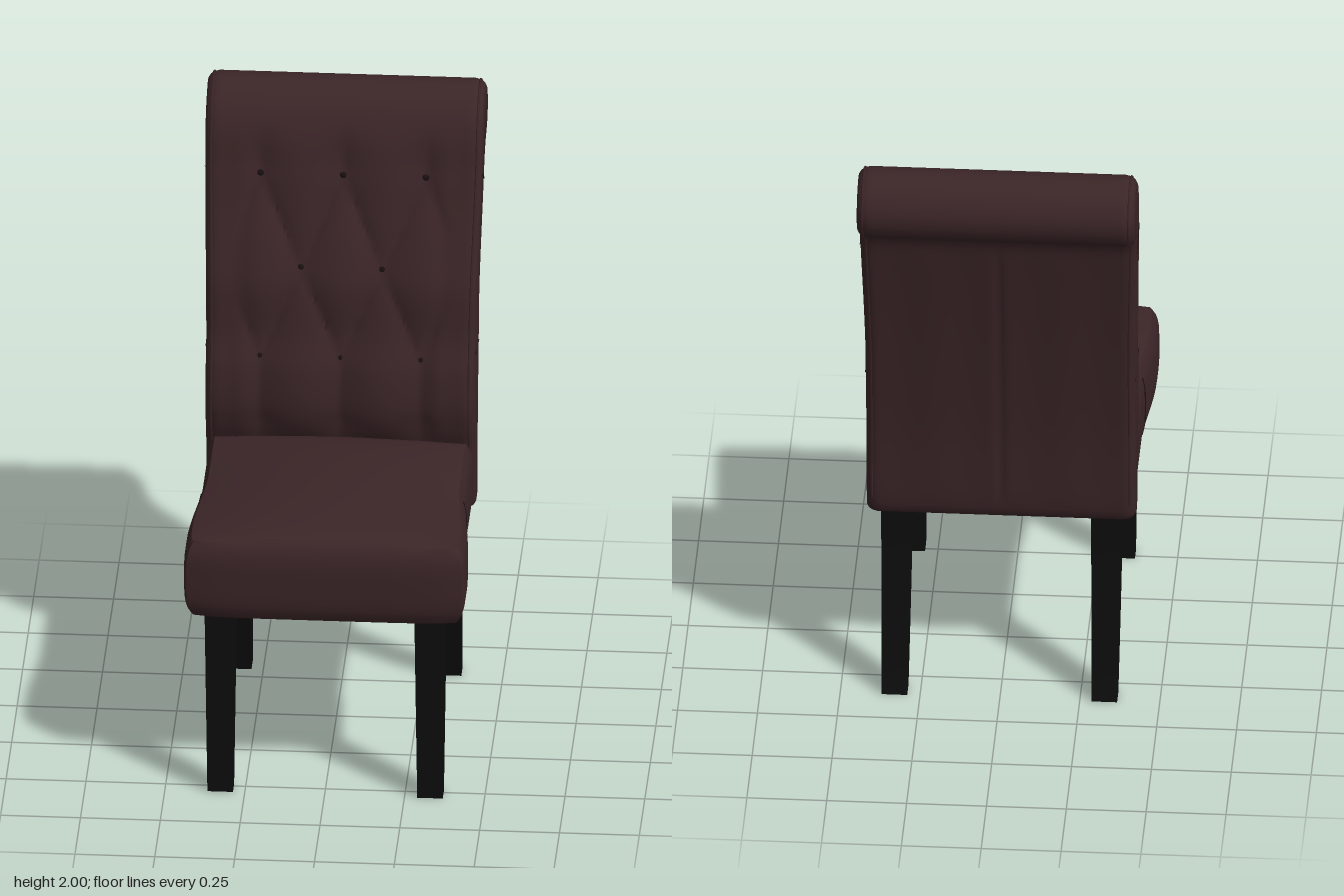
import * as THREE from 'three';
import { toCreasedNormals } from 'three/addons/utils/BufferGeometryUtils.js';

const { smoothstep, clamp } = THREE.MathUtils;

const flat = (name, color, side = THREE.FrontSide) => {
  const m = new THREE.MeshStandardMaterial({ color, side });
  m.name = name;
  return m;
};

function add(parent, name, geometry, material) {
  const mesh = new THREE.Mesh(geometry, material);
  mesh.name = name;
  parent.add(mesh);
  return mesh;
}

// Side outline of the backrest as [z, y]: up the front, over the roll, down the back
const OUTLINE = [
  [-0.2, 0.66], [-0.185, 0.76], [-0.165, 0.87], [-0.137, 0.93], [-0.12, 1.0], [-0.13, 1.13],
  [-0.162, 1.24], [-0.185, 1.4], [-0.215, 1.5], [-0.265, 1.66], [-0.29, 1.75], [-0.33, 1.87],
  [-0.385, 1.955], [-0.47, 2.0], [-0.55, 1.97], [-0.59, 1.89], [-0.565, 1.81], [-0.485, 1.765],
  [-0.46, 1.73], [-0.435, 1.61], [-0.38, 1.29], [-0.338, 0.97], [-0.313, 0.66], [-0.3, 0.635], [-0.21, 0.635],
];

function outlinePoints(count) {
  const curve = new THREE.CatmullRomCurve3(OUTLINE.map(([z, y]) => new THREE.Vector3(0, y, z)), true);
  const pts = curve.getSpacedPoints(count).slice(0, count);
  return pts.map((p, i) => {
    const a = pts[(i + count - 2) % count], b = pts[(i + 2) % count];
    const len = Math.hypot(b.z - a.z, b.y - a.y);
    const nz = (b.y - a.y) / len, ny = -(b.z - a.z) / len;
    return { z: p.z, y: p.y, nz, ny };
  });
}

// Depth of the diamond tufting on the front, and of the seams on the back
function tuftDepth(x, y) {
  const row = (clamp(y, 1.17, 1.74) - 1.17) / 0.57;
  const a = x / 0.26 + row, b = x / 0.26 - row;
  const puff = Math.sqrt(Math.abs(Math.sin(Math.PI * a) * Math.sin(Math.PI * b)));
  const inner = 1 - smoothstep(Math.abs(x), 0.28, 0.36);
  const band = smoothstep(y, 0.85, 0.97) * (1 - smoothstep(y, 1.76, 1.92));
  return band * (0.026 * (1 - puff) * inner + 0.012 * (1 - inner));
}

function seamDepth(x, y) {
  const band = smoothstep(y, 0.64, 0.8) * (1 - smoothstep(y, 1.6, 1.72));
  const centre = Math.max(0, 1 - Math.abs(x) / 0.02);
  return band * (0.008 * centre + 0.004 * (1 - Math.cos(x * 30)) / 2);
}

const widthAt = (y) => 0.968 + 0.032 * smoothstep(y, 1.2, 1.9);

function backrestGeometry(loop) {
  // Slices across x as [x, inset]; the outer ones round the sides
  const slices = [];
  for (let i = 0; i <= 64; i++) slices.push([-0.4 + i * 0.0125, 0]);
  for (const s of [[0.416, 0.004], [0.428, 0.012], [0.435, 0.024]]) {
    slices.push(s);
    slices.unshift([-s[0], s[1]]);
  }
  const n = loop.length, pos = [], index = [];
  for (const [x, inset] of slices) {
    for (const p of loop) {
      const front = p.nz > 0.3 ? tuftDepth(x, p.y) : 0;
      const back = p.nz < -0.8 && p.z > -0.47 ? seamDepth(x, p.y) : 0;
      const d = inset + front + back;
      pos.push(x * widthAt(p.y), p.y - p.ny * d, p.z - p.nz * d);
    }
  }
  for (let j = 0; j < slices.length - 1; j++) {
    for (let i = 0; i < n; i++) {
      const a = j * n + i, d = j * n + (i + 1) % n;
      index.push(a, a + n, d + n, a, d + n, d);
    }
  }
  // Flat side caps
  const last = (slices.length - 1) * n;
  const ring = loop.map((p, i) => new THREE.Vector2(pos[i * 3 + 2], pos[i * 3 + 1]));
  for (const [a, b, c] of THREE.ShapeUtils.triangulateShape(ring, [])) {
    index.push(a, b, c, last + a, last + c, last + b);
  }
  const g = new THREE.BufferGeometry();
  g.setAttribute('position', new THREE.Float32BufferAttribute(pos, 3));
  g.setIndex(index);
  return toCreasedNormals(g, 0.8);
}

// Seat cushion: a box with crowned top, puffed sides and a recessed underside
const seatHalfWidth = (z) => 0.415 + 0.026 * smoothstep(z, 0.1, 0.45);

function seatGeometry() {
  const g = new THREE.BoxGeometry(2, 2, 2, 28, 12, 28);
  const p = g.attributes.position;
  for (let i = 0; i < p.count; i++) {
    const u = p.getX(i), v = p.getY(i), w = p.getZ(i);
    const inset = 0.022 * v ** 4;
    const z = 0.205 + w * 0.385 - (w > 0 ? w ** 8 * (inset + 0.014 * u ** 6) : 0);
    const x = u * (seatHalfWidth(z) - inset - 0.01 * Math.max(0, w) ** 20);
    let y = 0.755 + v * 0.13;
    if (v > 0.999) y += 0.046 * (1 - u * u) * Math.sqrt(Math.max(0, 1 - w * w));
    if (v < -0.999 && Math.abs(u) < 0.92 && Math.abs(w) < 0.92) y += 0.03;
    p.setXYZ(i, x, y, z);
  }
  return toCreasedNormals(g, 0.7);
}

// Square leg lofted through levels of [y, zBack, zFront, xInner, xOuter]
function legGeometry(level, steps) {
  const g = new THREE.BoxGeometry(1, 1, 1, 1, steps, 1);
  const p = g.attributes.position;
  for (let i = 0; i < p.count; i++) {
    const [y, z0, z1, x0, x1] = level(p.getY(i) + 0.5);
    p.setXYZ(i, p.getX(i) > 0 ? x1 : x0, y, p.getZ(i) > 0 ? z1 : z0);
  }
  return toCreasedNormals(g, 0.6);
}

const cord = (points, radius, closed = false) => new THREE.TubeGeometry(
  new THREE.CatmullRomCurve3(points.map((p) => new THREE.Vector3(...p)), closed),
  points.length * 3, radius, 5, closed);

export function createModel() {
  const leather = flat('brown leather', 0x3b2527);
  const seam = flat('dark seam', 0x1c1112);
  const wood = flat('black wood', 0x0d0d0d);
  const lining = flat('olive lining', 0x383020);

  const chair = new THREE.Group();
  chair.name = 'diningChair';

  // Backrest with buttons
  const loop = outlinePoints(150);
  const backrest = new THREE.Group();
  backrest.name = 'backrest';
  chair.add(backrest);
  add(backrest, 'backrestCushion', backrestGeometry(loop), leather);

  const buttons = [[-0.26, 1.17], [0, 1.17], [0.26, 1.17], [-0.13, 1.455], [0.13, 1.455],
    [-0.26, 1.74], [0, 1.74], [0.26, 1.74]];
  const fronts = loop.filter((p) => p.nz > 0.3);
  for (const [x, y] of buttons) {
    const p = fronts.reduce((a, b) => (Math.abs(b.y - y) < Math.abs(a.y - y) ? b : a));
    const button = add(backrest, 'button', new THREE.SphereGeometry(0.011, 12, 8), seam);
    button.position.set(x * widthAt(y), y, p.z - tuftDepth(x, y));
    button.scale.z = 0.5;
  }

  // Seat with lining below
  const seat = new THREE.Group();
  seat.name = 'seat';
  chair.add(seat);
  add(seat, 'seatCushion', seatGeometry(), leather);
  const panel = add(seat, 'seatLining', new THREE.BoxGeometry(0.74, 0.006, 0.68), lining);
  panel.position.set(0, 0.65, 0.2);

  const frontLeg = legGeometry((t) => [t * 0.68, 0.485 - 0.03 * t, 0.541 - 0.006 * t,
    0.29 - 0.01 * t, 0.37 + 0.008 * t], 1);
  const backLeg = legGeometry((t) => {
    const bend = 0.085 * (1 - t) ** 1.8;
    return [t * 0.68, -0.284 - bend + 0.006 * (1 - t), -0.21 - bend - 0.006 * (1 - t),
      0.29 - 0.01 * t, 0.37 + 0.008 * t];
  }, 10);

  for (const side of [1, -1]) {
    // Piping and seams
    const piping = loop.filter((p) => p.y > 0.68).map((p) => [side * 0.417 * widthAt(p.y),
      p.y - p.ny * 0.004, p.z - p.nz * (0.004 + (p.nz > 0.3 ? tuftDepth(0.416, p.y) : 0))]);
    add(backrest, 'piping', cord(piping, 0.004), leather);
    for (const [y0, z0, y1, z1] of [[1.19, -0.18, 1.165, -0.335], [1.75, -0.33, 1.69, -0.42]]) {
      add(backrest, 'sideSeam', cord([[side * 0.435 * widthAt(y0), y0, z0],
        [side * 0.435 * widthAt(y1), y1, z1]], 0.003), seam);
    }
    add(seat, 'seatSideSeam', cord([0.65, 0.7, 0.76, 0.82, 0.86].map((y) => [
      side * (seatHalfWidth(0.18) - 0.022 * ((y - 0.755) / 0.13) ** 4), y, 0.18]), 0.003), seam);

    // Legs
    for (const [name, shape] of [['frontLeg', frontLeg], ['backLeg', backLeg]]) {
      const leg = add(chair, name, shape, wood);
      if (side < 0) leg.position.x = -0.657;
    }
  }
  return chair;
}
